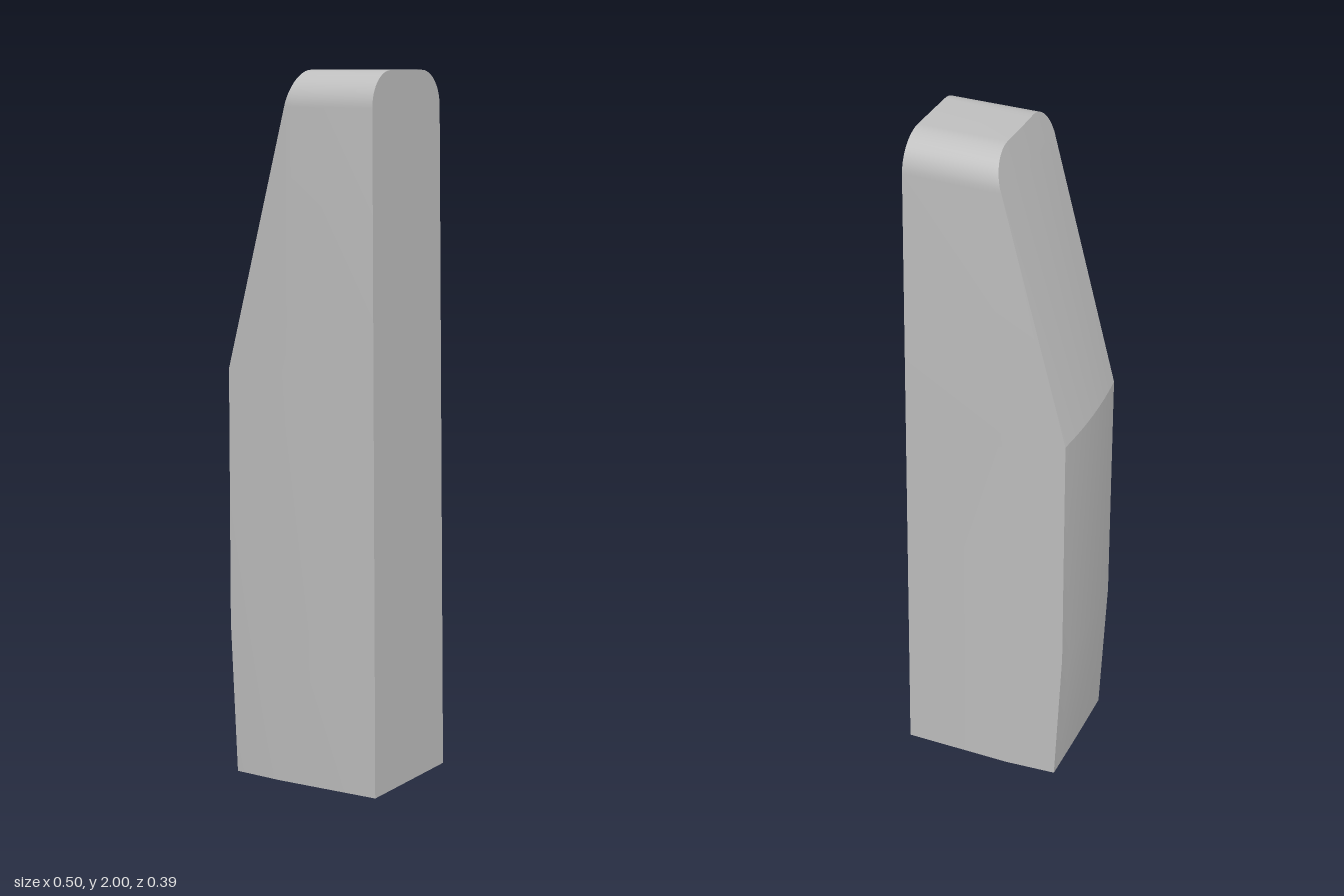
import * as THREE from 'three';
import { toCreasedNormals } from 'three/addons/utils/BufferGeometryUtils.js';

const lerp = THREE.MathUtils.lerp;
const SEG = 8; // divisions across the bowed edge
const ARC = 12; // divisions of the rounded top
const R = 0.1; // radius of the rounded top
const HALF = 0.184; // half depth just below the rounding

// Key heights: [y, x of the bowed edge, amount of bow]
const KEYS = [[0, -0.22, 0.001], [0.44, -0.25, 0.01], [1.17, -0.25, 0.01], [1.9, -0.057, 0.004]];

// One horizontal outline, running from the front right corner round to the back right
function section(y, edgeX, bow, half, cornerHalf) {
  const rightX = lerp(0.248, 0.226, y / 2);
  const creaseX = lerp(-0.07, -0.025, y / 2);
  const points = [[rightX, y, half], [creaseX, y, half]];
  for (let i = 0; i <= SEG; i++) {
    const t = 1 - (2 * i) / SEG;
    points.push([edgeX + bow * t * t, y, cornerHalf * t]);
  }
  points.push([creaseX, y, -half], [rightX, y, -half]);
  return points;
}

function bodyGeometry() {
  // Tapering body, then the quarter rounds towards the top
  const rows = KEYS.map(([y, x, bow]) => section(y, x, bow, lerp(0.194, HALF, y / 1.9), HALF - 0.001));
  for (let i = 1; i <= ARC; i++) {
    const a = (i / ARC) * Math.PI / 2;
    const y = 2 - R + R * Math.sin(a);
    const half = HALF - R + R * Math.cos(a);
    rows.push(section(y, lerp(-0.057, -0.03, Math.sin(a)), 0.004 * (half / HALF) ** 2, half, half));
  }

  const n = rows[0].length;
  const index = [];
  for (let r = 0; r < rows.length - 1; r++) {
    for (let i = 0; i < n; i++) {
      const a = r * n + i, b = r * n + (i + 1) % n;
      index.push(a, a + n, b + n, a, b + n, b);
    }
  }
  // Flat base and top
  const top = (rows.length - 1) * n;
  for (let i = 1; i < n - 1; i++) {
    index.push(0, i, i + 1, top, top + i + 1, top + i);
  }

  const geometry = new THREE.BufferGeometry();
  geometry.setAttribute('position', new THREE.Float32BufferAttribute(rows.flat(2), 3));
  geometry.setIndex(index);
  return toCreasedNormals(geometry, THREE.MathUtils.degToRad(12));
}

export function createModel() {
  const grey = new THREE.MeshStandardMaterial({ color: 0xc0c0c0 });
  grey.name = 'light grey';
  const body = new THREE.Mesh(bodyGeometry(), grey);
  body.name = 'taperedBody';
  const group = new THREE.Group();
  group.name = 'taperedBlock';
  group.add(body);
  return group;
}
